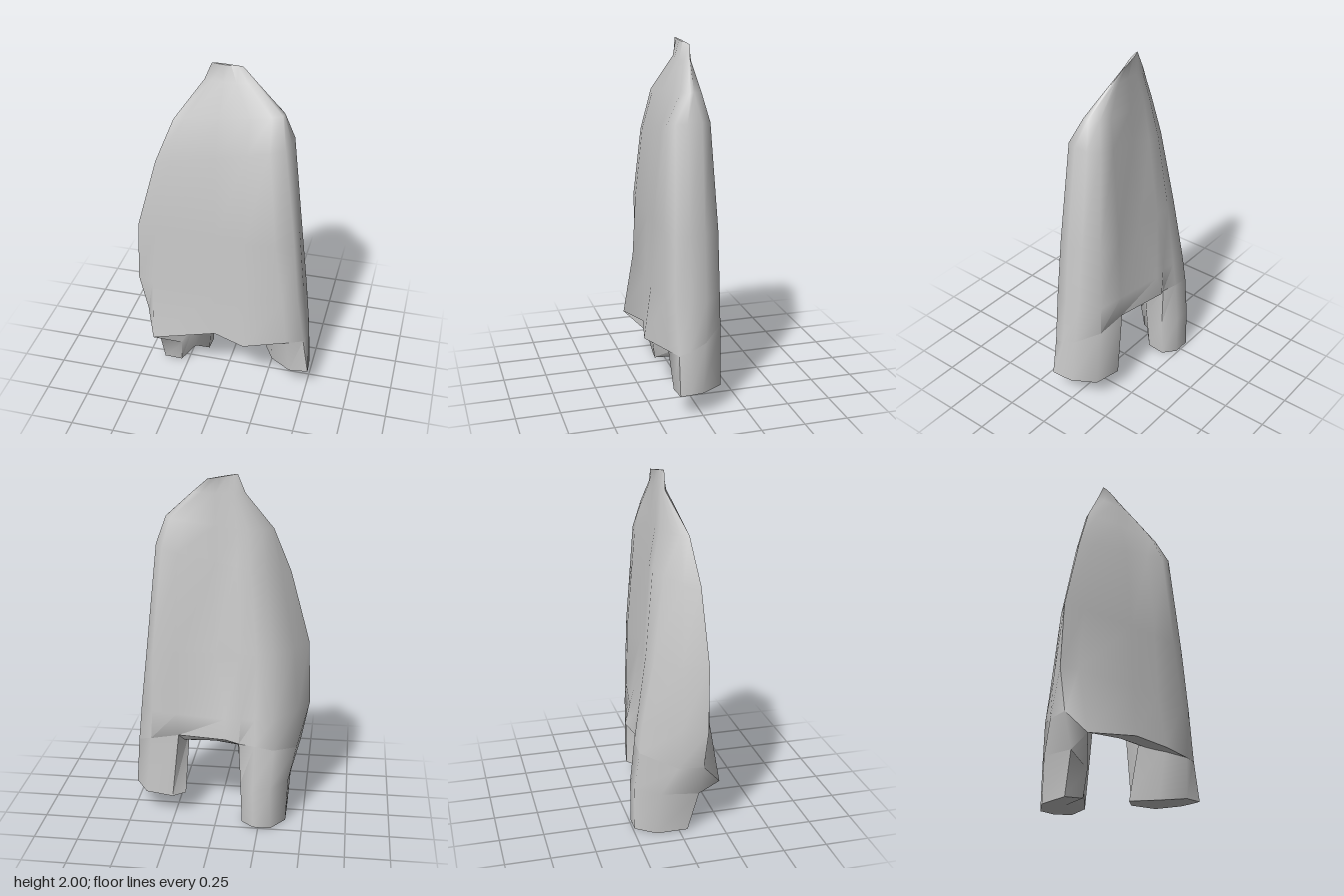
import * as THREE from 'three';
import { toCreasedNormals } from 'three/addons/utils/BufferGeometryUtils.js';

// Skin a stack of closed rings from top to bottom.
// Ring points run left to right along the front, then back along the rear.
function loft(rings, capTop) {
  const n = rings[0].length, pos = [], idx = [];
  rings.forEach(r => r.forEach(p => pos.push(...p)));
  for (let j = 0; j < rings.length - 1; j++)
    for (let i = 0; i < n; i++) {
      const a = j * n + i, b = j * n + (i + 1) % n;
      idx.push(a, a + n, b, b, a + n, b + n);
    }
  const cap = (ring, start, up) => {
    const centre = [0, 1, 2].map(k => ring.reduce((s, p) => s + p[k], 0) / n);
    const c = pos.length / 3;
    pos.push(...centre);
    for (let i = 0; i < n; i++) {
      const a = start + i, b = start + (i + 1) % n;
      idx.push(c, up ? a : b, up ? b : a);
    }
  };
  if (capTop) cap(rings[0], 0, true);
  cap(rings[rings.length - 1], (rings.length - 1) * n, false);
  const g = new THREE.BufferGeometry();
  g.setAttribute('position', new THREE.Float32BufferAttribute(pos, 3));
  g.setIndex(idx);
  return toCreasedNormals(g.toNonIndexed(), 1.1);
}

// A ring from x, z pairs, its height sloping from y0 at the first point to y1 at point 6
const level = (y0, y1, ...pts) => pts.map(([x, z]) =>
  [x, y0 + (y1 - y0) * (x - pts[0][0]) / (pts[6][0] - pts[0][0]), z]);

export function createModel() {
  const model = new THREE.Group();
  const cloth = new THREE.MeshStandardMaterial({ color: 0xc8c8c8 });
  cloth.name = 'light grey cloth';
  const add = (name, rings, capTop = false) => {
    const m = new THREE.Mesh(loft(rings, capTop), cloth);
    m.name = name;
    model.add(m);
  };

  // Each body ring: sharp right edge, five front points, left side, rear
  const shoulders = [
    level(1.9, 1.9, [-0.14, -0.015], [-0.1, 0], [-0.03, 0.01], [0.04, 0.005], [0.1, -0.005],
      [0.145, -0.015], [0.15, -0.02], [0.15, -0.025], [0.13, -0.035], [0.1, -0.04],
      [0.02, -0.04], [-0.05, -0.04], [-0.08, -0.035], [-0.11, -0.03], [-0.13, -0.022]),
    level(1.69, 1.76, [-0.29, 0.077], [-0.23, 0.08], [-0.04, 0.078], [0.13, 0.065], [0.24, 0.055],
      [0.295, 0.035], [0.3, 0.02], [0.3, 0], [0.27, -0.05], [0.2, -0.07],
      [0.02, -0.058], [-0.1, -0.058], [-0.16, -0.05], [-0.23, -0.005], [-0.27, 0.035]),
    level(1.44, 1.61, [-0.388, 0.115], [-0.29, 0.13], [-0.04, 0.13], [0.13, 0.13], [0.25, 0.135],
      [0.33, 0.11], [0.352, 0.05], [0.352, -0.03], [0.31, -0.088], [0.22, -0.1],
      [0.02, -0.072], [-0.1, -0.092], [-0.18, -0.095], [-0.26, -0.055], [-0.34, 0.035]),
  ];
  const torso = [
    level(1.02, 1.02, [-0.5, 0.135], [-0.38, 0.155], [-0.04, 0.17], [0.13, 0.18], [0.3, 0.165],
      [0.4, 0.13], [0.42, 0.06], [0.415, -0.03], [0.365, -0.12], [0.23, -0.145],
      [0.01, -0.12], [-0.13, -0.135], [-0.22, -0.145], [-0.31, -0.12], [-0.42, 0.01]),
    level(0.65, 0.65, [-0.515, 0.13], [-0.42, 0.165], [-0.04, 0.185], [0.13, 0.195], [0.35, 0.17],
      [0.435, 0.14], [0.455, 0.06], [0.455, -0.03], [0.375, -0.13], [0.23, -0.155],
      [-0.05, -0.2], [-0.14, -0.18], [-0.22, -0.195], [-0.32, -0.19], [-0.45, 0]),
  ];
  const crown = shoulders[0].map(([x, , z]) =>
    [x * 0.55 - 0.02, 1.99 - x * 0.08, -0.028 - x * 0.12 + (z + 0.02) * 0.3]);
  // Uneven hem, lower in front than behind
  const hem = [
    [-0.47, 0.42, 0.12], [-0.41, 0.29, 0.23], [-0.04, 0.37, 0.2], [0.14, 0.34, 0.24],
    [0.38, 0.355, 0.165], [0.475, 0.36, 0.13], [0.487, 0.38, 0.07], [0.478, 0.42, -0.02],
    [0.385, 0.48, -0.132], [0.22, 0.52, -0.155], [-0.06, 0.54, -0.23], [-0.13, 0.5, -0.19],
    [-0.22, 0.5, -0.215], [-0.33, 0.48, -0.21], [-0.45, 0.42, -0.02],
  ];
  add('drapedBody', [crown, ...shoulders, ...torso, hem], true);

  // Left leg: short tube carrying on from the side of the body
  add('leftLeg', [
    [[0.18, 0.48, 0], [0.27, 0.42, 0.11], ...hem.slice(4, 10)],
    [[0.19, 0.125, -0.1], [0.275, 0.117, 0.045], [0.4, 0.13, 0.14], [0.51, 0.135, 0.132],
      [0.508, 0.135, 0.07], [0.5, 0.135, 0], [0.42, 0.13, -0.125], [0.26, 0.125, -0.155]],
  ]);

  // Right leg: longer, with a fold in front and a notched cuff
  add('rightLeg', [
    [hem[0], hem[1], [-0.25, 0.42, 0.05], [-0.11, 0.46, -0.07], ...hem.slice(11)],
    [[-0.415, 0.23, 0.11], [-0.28, 0.16, 0.085], [-0.22, 0.25, 0.01], [-0.13, 0.27, -0.07],
      [-0.14, 0.25, -0.18], [-0.215, 0.25, -0.24], [-0.315, 0.25, -0.24], [-0.41, 0.25, -0.11]],
    [[-0.4, 0, 0.05], [-0.29, 0.01, 0.065], [-0.22, 0.07, -0.01], [-0.15, 0.01, -0.08],
      [-0.15, 0, -0.18], [-0.22, 0, -0.24], [-0.32, 0, -0.24], [-0.4, 0, -0.13]],
  ]);

  return model;
}
